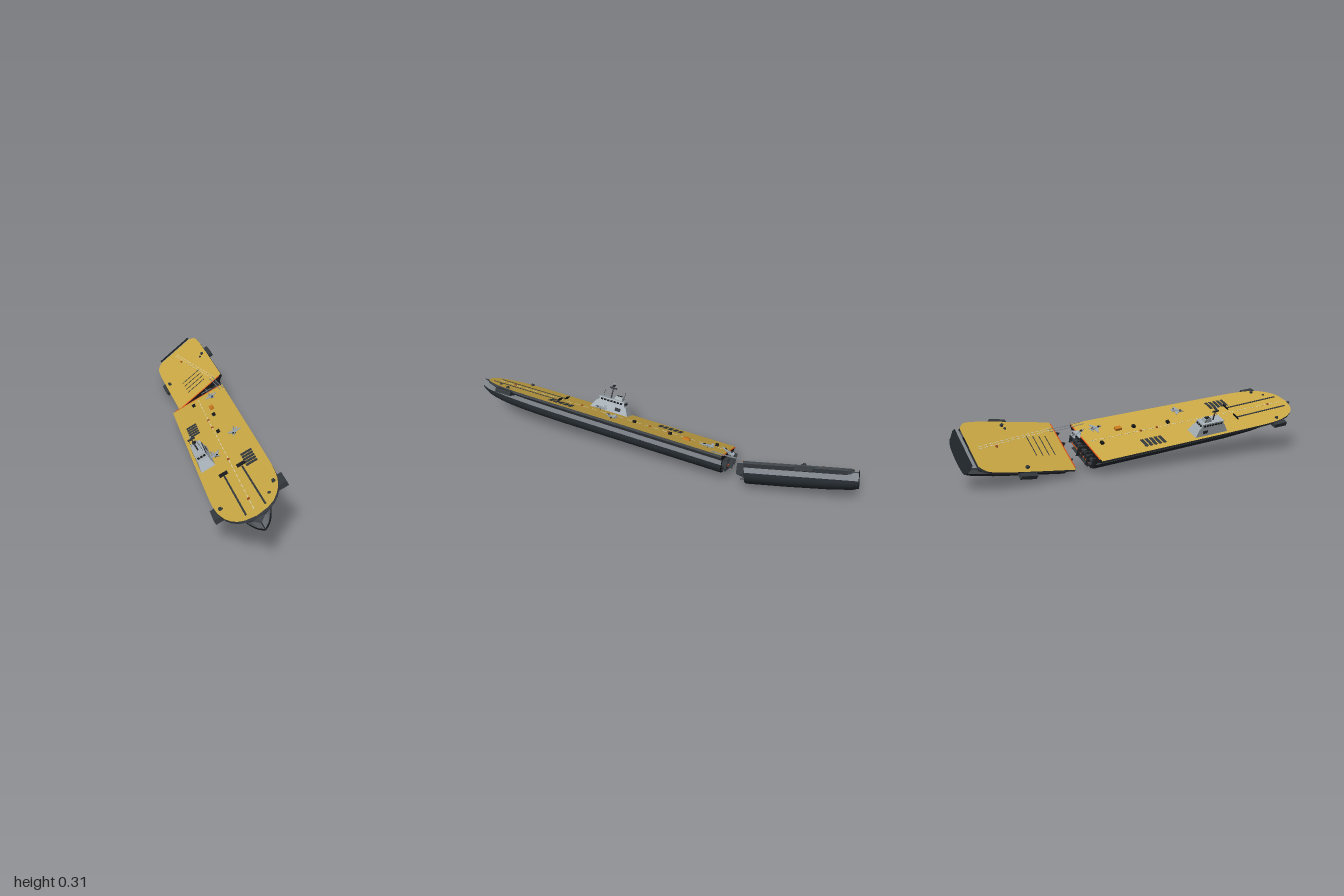
import * as THREE from 'three';

const mat = (color) => new THREE.MeshStandardMaterial({ color, side: THREE.DoubleSide });
const M = {
  deck: mat(0xcaa844), hull: mat(0x858b91), keel: mat(0x23292e), under: mat(0x3d4248),
  dark: mat(0x33383d), black: mat(0x17191b), island: mat(0xa4aeb4), jet: mat(0x9aa4ac),
  line: mat(0xd8d4c0), glow: mat(0xe2541a), orange: mat(0xc8771e), red: mat(0x9c4a22),
};

let seed = 7;
const rnd = () => (seed = (seed * 16807) % 2147483647) / 2147483647;

function add(parent, name, geo, material, x = 0, y = 0, z = 0, rx = 0, ry = 0, rz = 0) {
  const m = new THREE.Mesh(geo, material);
  m.name = name;
  m.position.set(x, y, z);
  m.rotation.set(rx, ry, rz);
  parent.add(m);
  return m;
}
const box = (w, h, d) => new THREE.BoxGeometry(w, h, d);

// Box whose top is scaled by sx, sz and shifted by dx; it stands on y = 0
function taperBox(w, h, d, sx, sz, dx = 0) {
  const g = box(w, h, d).translate(0, h / 2, 0).toNonIndexed();
  const p = g.attributes.position;
  for (let i = 0; i < p.count; i++) {
    if (p.getY(i) > h / 2) { p.setX(i, p.getX(i) * sx + dx); p.setZ(i, p.getZ(i) * sz); }
  }
  g.computeVertexNormals();
  return g;
}

// Skin through one open cross-section per station
function loft(stations, section) {
  const pos = [], idx = [];
  const n = section(stations[0]).length;
  stations.forEach((s, i) => {
    section(s).forEach(([x, y], j) => {
      pos.push(x, y, s.z);
      if (i && j) {
        const a = i * n + j, b = a - n;
        idx.push(b - 1, b, a - 1, b, a, a - 1);
      }
    });
  });
  const g = new THREE.BufferGeometry();
  g.setAttribute('position', new THREE.Float32BufferAttribute(pos, 3));
  g.setIndex(idx);
  g.computeVertexNormals();
  return g;
}

// z, deck half width b, hull half width h, depth D, top of hull side t
const st = (z, b, h, D, t = 0.03) => ({ z, b, h, D, t, f: h + 0.012 * Math.min(1, h / 0.05) });
const WL = (s) => Math.min(0.055, s.D * 0.85);
const keelHalf = (s) => {
  const w = WL(s), d = s.D - w;
  return [[s.h, -w], [s.h * 0.985, -w - d * 0.3], [s.h * 0.9, -w - d * 0.6], [s.h * 0.7, -w - d * 0.84], [s.h * 0.38, -s.D * 0.985]];
};
const mirror = (half) => half.map(([x, y]) => [-x, y]);
const keelSection = (s) => [...mirror(keelHalf(s)), [0, -s.D], ...keelHalf(s).reverse()];

function hullSection(g, stations, deckStations) {
  add(g, 'flightDeck', loft(deckStations, (s) => [[-s.b, 0], [s.b, 0]]), M.deck);
  for (const k of [-1, 1]) {
    add(g, 'deckEdge', loft(deckStations, (s) => [[k * s.b, 0], [k * s.b, -0.012]]), M.under);
    add(g, 'deckOverhang', loft(stations, (s) => [[k * s.b, -0.012], [k * s.f, -s.t]]), M.under);
    add(g, 'hullSide', loft(stations, (s) => [[k * s.f, -s.t], [k * s.h, -WL(s)]]), M.hull);
  }
  add(g, 'lowerHull', loft(stations, keelSection), M.keel);
}

// Flat end wall following the full cross-section
function endWall(g, name, s, material) {
  const top = [[s.f, -s.t], [s.b, -0.012], [s.b, 0]];
  const pts = [...keelSection(s), ...top, ...mirror(top).reverse()];
  const shape = new THREE.Shape(pts.map(([x, y]) => new THREE.Vector2(x, y)));
  add(g, name, new THREE.ShapeGeometry(shape), material, 0, 0, s.z);
}

// Torn plating, frames and glowing edges at the break; dir points out of the wound
function breakDetail(g, z, dir) {
  for (let i = 0; i < 9; i++) {
    const x = -0.1 + i * 0.025, len = 0.015 + rnd() * 0.025, h = 0.03 + rnd() * 0.035;
    add(g, 'tornFrame', box(0.005, h, len), M.dark, x, -0.055 + rnd() * 0.02, z + dir * len / 2, 0, (rnd() - 0.5) * 0.6, (rnd() - 0.5) * 0.3);
    const shard = new THREE.ConeGeometry(0.007, 0.035, 3);
    add(g, 'tornShard', shard, M.black, x, -0.03 - rnd() * 0.06, z + dir * 0.012, dir * (Math.PI / 2 + (rnd() - 0.5) * 0.8));
  }
  for (const [y, w] of [[-0.035, 0.2], [-0.062, 0.2], [-0.085, 0.15]]) {
    add(g, 'brokenInnerDeck', box(w, 0.004, 0.02), M.dark, 0, y, z + dir * 0.01);
  }
  add(g, 'burningInnerEdge', box(0.165, 0.003, 0.003), M.glow, 0, -0.058, z + dir * 0.021);
  add(g, 'burningDeckEdge', box(0.28, 0.003, 0.005), M.glow, 0, 0, z + dir * 0.002);
}

function sponson(g, x, z) {
  add(g, 'sponson', box(0.05, 0.022, 0.085), M.dark, x, -0.016, z);
  add(g, 'sponsonGun', new THREE.CylinderGeometry(0.007, 0.009, 0.012, 10), M.dark, x * 0.86, 0.004, z);
}

const dome = (g, x, z, material = M.red) =>
  add(g, 'deckDome', new THREE.SphereGeometry(0.007, 10, 6, 0, Math.PI * 2, 0, Math.PI / 2), material, x, 0, z);

function dashes(g, x0, z0, x1, z1, n) {
  const len = Math.hypot(x1 - x0, z1 - z0) / n * 0.6;
  for (let i = 0; i < n; i++) {
    const t = (i + 0.5) / n;
    add(g, 'deckMarking', box(0.003, 0.001, len), M.line, x0 + (x1 - x0) * t, 0.001, z0 + (z1 - z0) * t, 0, Math.atan2(x1 - x0, z1 - z0));
  }
}

function flat(points, thickness) {
  const shape = new THREE.Shape(points.map(([x, z]) => new THREE.Vector2(x, -z)));
  return new THREE.ExtrudeGeometry(shape, { depth: thickness, bevelEnabled: false }).rotateX(-Math.PI / 2);
}

function jet(g, x, z, ry, rx = 0) {
  const a = new THREE.Group();
  a.name = 'aircraft';
  a.position.set(x, 0.011, z);
  a.rotation.set(rx, ry, 0);
  add(a, 'fuselage', new THREE.CylinderGeometry(0.005, 0.006, 0.05, 8), M.jet, 0, 0, -0.008, Math.PI / 2);
  add(a, 'nose', new THREE.ConeGeometry(0.005, 0.022, 8), M.jet, 0, 0, 0.028, Math.PI / 2);
  add(a, 'wings', flat([[0, 0.014], [0.034, -0.014], [0.034, -0.02], [0, -0.018], [-0.034, -0.02], [-0.034, -0.014]], 0.002), M.jet);
  add(a, 'tailplane', flat([[0, -0.022], [0.016, -0.034], [0.016, -0.038], [-0.016, -0.038], [-0.016, -0.034]], 0.002), M.jet);
  add(a, 'fin', box(0.002, 0.014, 0.012), M.jet, 0, 0.009, -0.029, -0.3);
  add(a, 'canopy', new THREE.SphereGeometry(0.004, 8, 6).scale(1, 1, 2), M.black, 0, 0.004, 0.012);
  add(a, 'gear', box(0.012, 0.01, 0.003), M.dark, 0, -0.006, -0.006);
  g.add(a);
}

function island() {
  const g = new THREE.Group();
  g.name = 'island';
  g.position.set(-0.102, 0, 0.305);
  add(g, 'islandBase', taperBox(0.074, 0.042, 0.21, 0.72, 0.78), M.island);
  add(g, 'bridge', taperBox(0.058, 0.022, 0.15, 0.85, 0.9), M.island, 0, 0.042);
  add(g, 'bridgeRoof', box(0.054, 0.003, 0.142), M.island, 0, 0.065);
  for (const k of [-1, 1]) {
    for (let i = 0; i < 7; i++) add(g, 'bridgeWindow', box(0.003, 0.009, 0.012), M.black, k * 0.027, 0.054, -0.054 + i * 0.018);
    for (let i = 0; i < 3; i++) add(g, 'endWindow', box(0.011, 0.009, 0.003), M.black, -0.015 + i * 0.015, 0.054, k * 0.072);
    add(g, 'sideOpening', box(0.004, 0.018, 0.03), M.dark, k * 0.032, 0.02, -0.045);
    add(g, 'antenna', new THREE.CylinderGeometry(0.0008, 0.0008, 0.045, 5), M.dark, k * 0.02, 0.085, k * 0.05);
  }
  add(g, 'funnel', taperBox(0.03, 0.02, 0.045, 0.8, 0.8), M.island, 0, 0.066, -0.03);
  add(g, 'funnelMouth', box(0.018, 0.003, 0.028), M.black, 0, 0.086, -0.03);
  add(g, 'mast', new THREE.CylinderGeometry(0.002, 0.004, 0.072, 8), M.dark, 0, 0.1, 0.015);
  add(g, 'mastYard', box(0.036, 0.008, 0.006), M.dark, 0, 0.13, 0.015);
  add(g, 'radarBar', box(0.004, 0.008, 0.04), M.dark, 0, 0.118, 0.015);
  add(g, 'radome', new THREE.SphereGeometry(0.0045, 10, 8), M.island, 0, 0.141, 0.015);
  return g;
}

function foreSection() {
  const g = new THREE.Group();
  g.name = 'foreSection';
  const s = [
    st(-0.37, 0.155, 0.113, 0.105), st(0, 0.155, 0.113, 0.105), st(0.45, 0.155, 0.111, 0.105), st(0.65, 0.154, 0.1, 0.104),
    st(0.73, 0.151, 0.089, 0.103), st(0.8, 0.143, 0.076, 0.1), st(0.86, 0.126, 0.062, 0.095), st(0.9, 0.106, 0.05, 0.09, 0.028),
    st(0.93, 0.082, 0.038, 0.084, 0.024), st(0.95, 0.052, 0.029, 0.078, 0.02), st(0.962, 0, 0.022, 0.074, 0.016), st(1, 0, 0.002, 0.056, 0.014),
  ];
  hullSection(g, s, s.slice(0, -1));
  endWall(g, 'breakWall', s[0], M.black);
  breakDetail(g, -0.371, -1);
  sponson(g, 0.145, 0.8);
  sponson(g, -0.145, 0.78);
  // Catapults and blast deflectors
  for (const k of [-1, 1]) {
    add(g, 'catapultTrack', box(0.008, 0.002, 0.37), M.dark, k * 0.045, 0.001, 0.735, 0, 0.03);
    add(g, 'blastDeflector', box(0.042, 0.016, 0.004), M.black, k * 0.045 - 0.005, 0.007, 0.54, -0.5);
  }
  // Slatted vents
  for (const [x, z] of [[-0.094, -0.035], [0.085, 0.51]]) {
    for (let i = -2; i <= 2; i++) add(g, 'ventSlat', box(0.056, 0.002, 0.018), M.dark, x, 0.001, z + i * 0.027);
  }
  dashes(g, 0, -0.35, 0, 0.92, 26);
  add(g, 'deckTractor', box(0.022, 0.012, 0.034), M.orange, 0.045, 0.006, -0.16);
  for (const [x, z] of [[0.038, -0.07], [0.018, 0.13], [-0.034, -0.3]]) add(g, 'deckCrate', box(0.017, 0.012, 0.015), M.black, x, 0.006, z);
  for (const [x, z] of [[0, 0.82], [0, 0.43], [0, 0.05], [0, -0.05]]) dome(g, x, z);
  dome(g, 0.085, 0.86, M.dark);
  dome(g, -0.12, 0.78, M.dark);
  jet(g, 0.075, -0.27, 0.2);
  jet(g, 0.082, 0.24, -0.35);
  jet(g, -0.042, 0.35, 0.5);
  jet(g, 0.065, -0.375, 0.1, -0.45);
  g.add(island());
  // Cables hanging across the gap
  for (const k of [0, 1]) {
    const curve = new THREE.CatmullRomCurve3([[0.15, 0.004, -0.31], [0.142, 0.003, -0.4], [0.13, 0.012, -0.51]].map(([x, y, z]) => new THREE.Vector3(x - k * 0.018, y, z)));
    add(g, 'cable', new THREE.TubeGeometry(curve, 10, 0.0016, 6), M.hull);
  }
  g.rotation.set(-0.08, -0.038, 0.489, 'YXZ');
  g.position.set(0.004, 0.158, 0);
  return g;
}

function sternSection() {
  const g = new THREE.Group();
  g.name = 'sternSection';
  const s = [
    st(0, 0.153, 0.113, 0.105), st(-0.2, 0.154, 0.113, 0.105), st(-0.38, 0.154, 0.112, 0.102), st(-0.44, 0.15, 0.11, 0.099),
    st(-0.47, 0.143, 0.108, 0.097), st(-0.49, 0.125, 0.107, 0.096, 0.025), st(-0.5, 0.112, 0.106, 0.095, 0.018), st(-0.525, 0.11, 0.104, 0.088, 0.018),
  ];
  hullSection(g, s, s.slice(0, -1));
  add(g, 'sternLedge', loft(s.slice(-2), (q) => [[-q.b, -0.012], [q.b, -0.012]]), M.hull);
  endWall(g, 'breakWall', s[0], M.black);
  add(g, 'transom', loft(s.slice(-1).concat({ ...s[7], z: -0.526 }), keelSection), M.keel);
  endWall(g, 'transomWall', { ...s[7], z: -0.525 }, M.keel);
  breakDetail(g, 0.001, 1);
  sponson(g, 0.15, -0.28);
  sponson(g, -0.15, -0.26);
  // Landing lane and arresting wires
  dashes(g, 0.1, -0.02, -0.015, -0.46, 14);
  dashes(g, 0.112, -0.02, -0.003, -0.46, 14);
  for (let i = 0; i < 4; i++) add(g, 'arrestingWire', box(0.12, 0.002, 0.003), M.dark, 0, 0.001, -0.07 - i * 0.035);
  dome(g, 0, -0.36);
  dome(g, -0.125, -0.25, M.dark);
  dome(g, 0.11, -0.27, M.dark);
  g.rotation.set(0.11, 0.09, 0.69, 'YXZ');
  g.position.set(0.056, 0.118, -0.478);
  return g;
}

export function createModel() {
  seed = 7;
  const model = new THREE.Group();
  model.name = 'wreckedCarrier';
  model.add(foreSection(), sternSection());
  // Rest the wreck on the ground
  model.updateMatrixWorld(true);
  const b = new THREE.Box3().setFromObject(model, true);
  model.children.forEach((c) => { c.position.y -= b.min.y; c.position.z -= (b.min.z + b.max.z) / 2; });
  return model;
}
